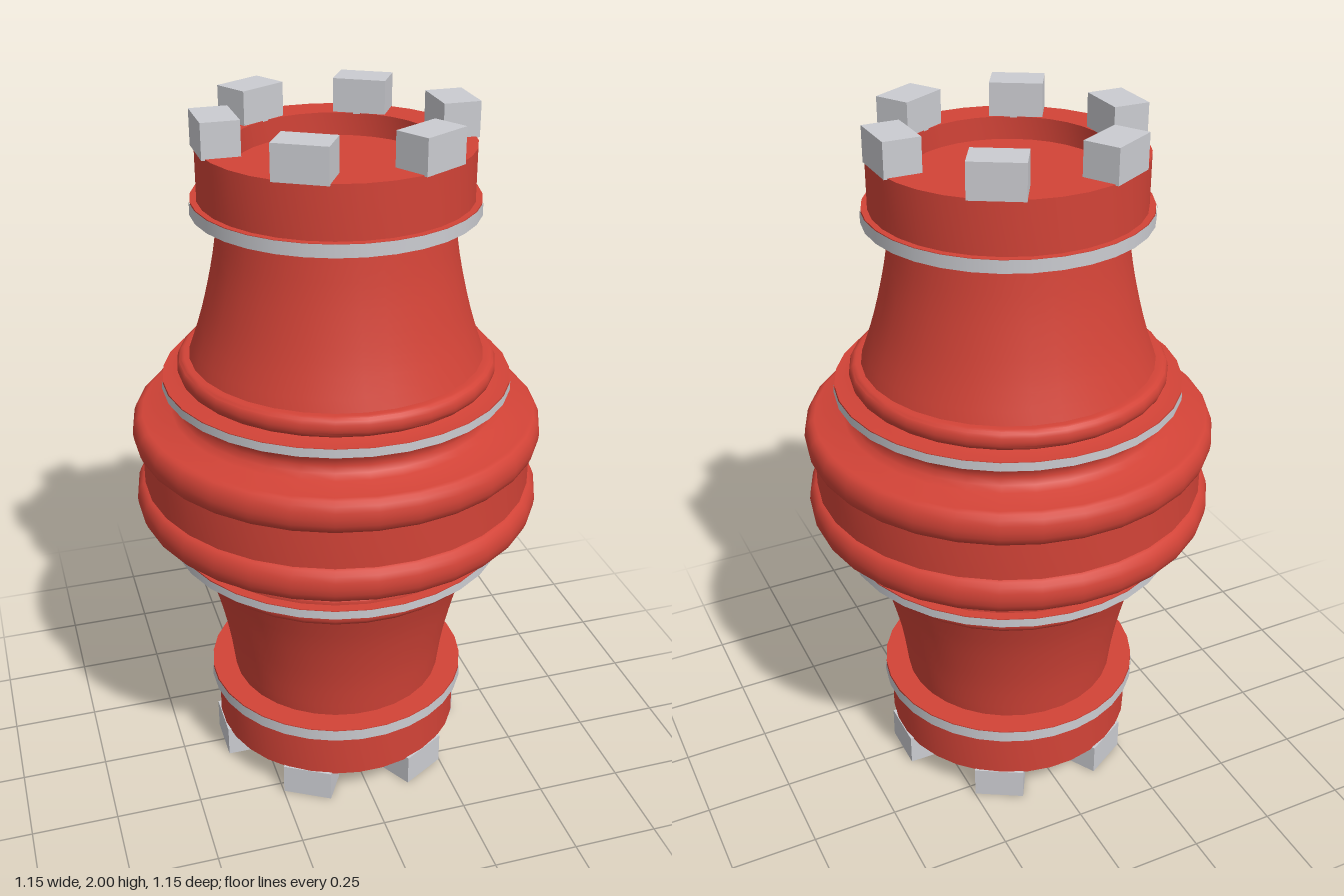
import * as THREE from 'three';
import { toCreasedNormals } from 'three/addons/utils/BufferGeometryUtils.js';

const SEGMENTS = 32;
const MIDDLE = 1; // mirror height

export function createModel() {
  const red = new THREE.MeshStandardMaterial({ color: 0xd24337 });
  red.name = 'red paint';
  const grey = new THREE.MeshStandardMaterial({ color: 0xcbccd1 });
  grey.name = 'light grey metal';

  const model = new THREE.Group();
  model.name = 'coupling';

  const add = (name, geometry, material) => {
    const mesh = new THREE.Mesh(geometry, material);
    mesh.name = name;
    model.add(mesh);
    return mesh;
  };

  // half-round bulge between two heights, as profile points
  const bulge = (radius, depth, y0, y1, steps = 8) =>
    Array.from({ length: steps + 1 }, (_, i) => {
      const a = -Math.PI / 2 + (Math.PI * i) / steps;
      return [radius + depth * Math.cos(a), (y0 + y1) / 2 + ((y1 - y0) / 2) * Math.sin(a)];
    });

  // tapering, slightly concave neck
  const neck = new THREE.SplineCurve([
    [0.41, 1.32], [0.376, 1.42], [0.35, 1.52], [0.33, 1.62], [0.316, 1.73],
  ].map(([r, y]) => new THREE.Vector2(r, y))).getPoints(10).map((p) => [p.x, p.y]);

  // upper half of the body profile, from the middle to the recessed end
  const upper = [
    [0.555, 1.055],
    ...bulge(0.55, 0.03, 1.055, 1.155),
    [0.468, 1.155], [0.45, 1.168], [0.442, 1.185], [0.445, 1.205], [0.46, 1.225], [0.46, 1.235],
    [0.487, 1.235], [0.487, 1.26], [0.43, 1.26],
    ...bulge(0.425, 0.02, 1.262, 1.32),
    ...neck,
    [0.387, 1.73], [0.387, 1.765], [0.37, 1.765],
    [0.37, 1.908], [0.27, 1.908], [0.27, 1.845], [0, 1.845],
  ];
  const lower = upper.map(([r, y]) => [r, 2 * MIDDLE - y]).reverse();
  const profile = [...lower, ...upper].map(([r, y]) => new THREE.Vector2(r, y));
  const lathe = new THREE.LatheGeometry(profile, SEGMENTS, Math.PI / SEGMENTS);
  add('body', toCreasedNormals(lathe, 0.65), red);

  for (const side of [1, -1]) {
    const end = side > 0 ? 'upper' : 'lower';

    // metal bands around the disc edges
    for (const [name, radius, y0, y1] of [
      ['FlangeBand', 0.49, 1.235, 1.26],
      ['CollarBand', 0.39, 1.73, 1.765],
    ]) {
      const band = new THREE.CylinderGeometry(
        radius, radius, y1 - y0, SEGMENTS, 1, true, Math.PI / SEGMENTS);
      add(end + name, band, grey).position.y = MIDDLE + side * ((y0 + y1) / 2 - MIDDLE);
    }

    // six block lugs on each end rim
    for (let i = 0; i < 6; i++) {
      const angle = (i * Math.PI) / 3;
      const lug = add(`${end}Lug${i + 1}`, new THREE.BoxGeometry(0.102, 0.095, 0.146), grey);
      lug.position.set(0.32 * Math.cos(angle), MIDDLE + side * 0.9525, 0.32 * Math.sin(angle));
      lug.rotation.y = -angle;
    }
  }

  return model;
}
